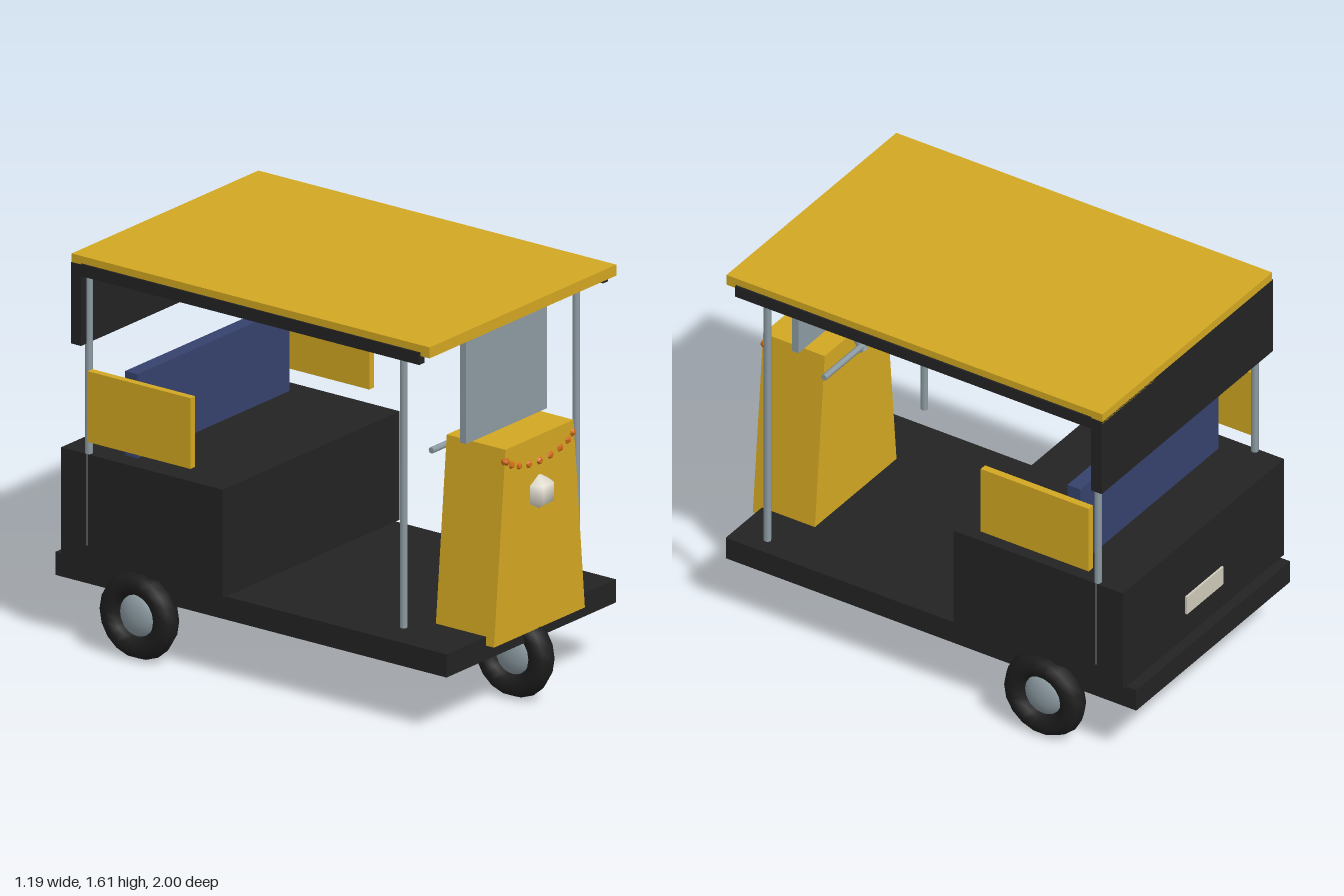
import * as THREE from 'three';

const mat = (name, color) => {
  const m = new THREE.MeshStandardMaterial({ color });
  m.name = name;
  return m;
};

export function createModel() {
  const root = new THREE.Group();
  root.name = 'openThreeWheeler';
  const yellow = mat('yellow paint', 0xd2a722);
  const black = mat('black body', 0x232323);
  const rubber = mat('tyre rubber', 0x1d1d1d);
  const metal = mat('grey metal', 0x8c9ba2);
  const blue = mat('blue seat', 0x36426d);
  const cream = mat('cream lamp', 0xe2ddcf);
  const plateMat = mat('pale plate', 0xcfcab8);
  const orange = mat('orange flowers', 0xcf6a14);

  const add = (name, geo, m, x = 0, y = 0, z = 0, parent = root) => {
    const mesh = new THREE.Mesh(geo, m);
    mesh.name = name;
    mesh.position.set(x, y, z);
    parent.add(mesh);
    return mesh;
  };
  // box from its limits on each axis
  const box = (name, m, x0, x1, y0, y1, z0, z1) =>
    add(name, new THREE.BoxGeometry(x1 - x0, y1 - y0, z1 - z0), m,
      (x0 + x1) / 2, (y0 + y1) / 2, (z0 + z1) / 2);

  // deck, rear body and seat
  box('deck', black, -0.535, 0.535, 0.25, 0.345, -1, 0.9);
  box('rearBody', black, -0.559, 0.559, 0.345, 0.79, -0.955, -0.17);
  box('seatBack', blue, -0.48, 0.48, 0.79, 1.135, -0.705, -0.645);
  box('rearPlate', plateMat, -0.127, 0.127, 0.455, 0.535, -0.964, -0.955);

  // roof, rear curtain and windshield
  box('roof', yellow, -0.59, 0.59, 1.565, 1.61, -0.88, 0.86);
  box('rearCurtain', black, -0.595, 0.595, 1.243, 1.575, -0.88, -0.83);
  box('windshield', metal, -0.255, 0.255, 1.1, 1.56, 0.75, 0.78);

  // parts on both sides
  for (const s of [-1, 1]) {
    const side = (name, m, a, b, ...rest) =>
      box(name, m, Math.min(s * a, s * b), Math.max(s * a, s * b), ...rest);
    side('roofRail', black, 0.565, 0.597, 1.53, 1.58, -0.83, 0.815);
    side('sidePanel', yellow, 0.55, 0.58, 0.85, 1.14, -0.81, -0.31);
    for (const z of [0.7, -0.83])
      add('roofPost', new THREE.CylinderGeometry(0.015, 0.015, 1.15, 8), metal, s * 0.545, 0.99, z);
  }

  // tapered front console
  const trapezoid = new THREE.Shape([
    new THREE.Vector2(-0.287, 0.31), new THREE.Vector2(0.287, 0.31),
    new THREE.Vector2(0.215, 1.1), new THREE.Vector2(-0.215, 1.1),
  ]);
  add('frontConsole', new THREE.ExtrudeGeometry(trapezoid, { depth: 0.285, bevelEnabled: false }),
    yellow, 0, 0, 0.655);

  // headlight
  add('headlight', new THREE.SphereGeometry(0.075, 6, 3), cream, 0, 0.87, 0.93);

  // hanging flower garland
  const garland = new THREE.Group();
  garland.name = 'garland';
  root.add(garland);
  for (let i = -4; i <= 4; i++) {
    const a = i * Math.PI / 10;
    const bead = add('flower', new THREE.IcosahedronGeometry(0.019, 0), orange,
      0.22 * Math.sin(a), 1.075 - 0.08 * Math.cos(a), 0.935, garland);
    bead.rotation.z = a;
  }

  // handlebar and its stem
  add('handlebar', new THREE.CylinderGeometry(0.013, 0.013, 0.54, 8), metal, 0, 1.043, 0.622)
    .rotation.z = Math.PI / 2;
  add('handlebarStem', new THREE.CylinderGeometry(0.018, 0.018, 0.07, 8), metal, 0, 1.05, 0.635)
    .rotation.x = 0.6;

  // wheels: one in front, two behind
  const tyreGeo = new THREE.TorusGeometry(0.13, 0.051, 8, 18).rotateY(Math.PI / 2);
  const hubGeo = new THREE.SphereGeometry(0.09, 14, 10).scale(0.48, 1, 1);
  for (const [name, x, z] of [['frontWheel', 0, 0.82], ['rearWheel', -0.545, -0.585], ['rearWheel', 0.545, -0.585]]) {
    const wheel = new THREE.Group();
    wheel.name = name;
    wheel.position.set(x, 0.182, z);
    root.add(wheel);
    add('tyre', tyreGeo, rubber, 0, 0, 0, wheel);
    add('hub', hubGeo, metal, 0, 0, 0, wheel);
  }
  return root;
}
